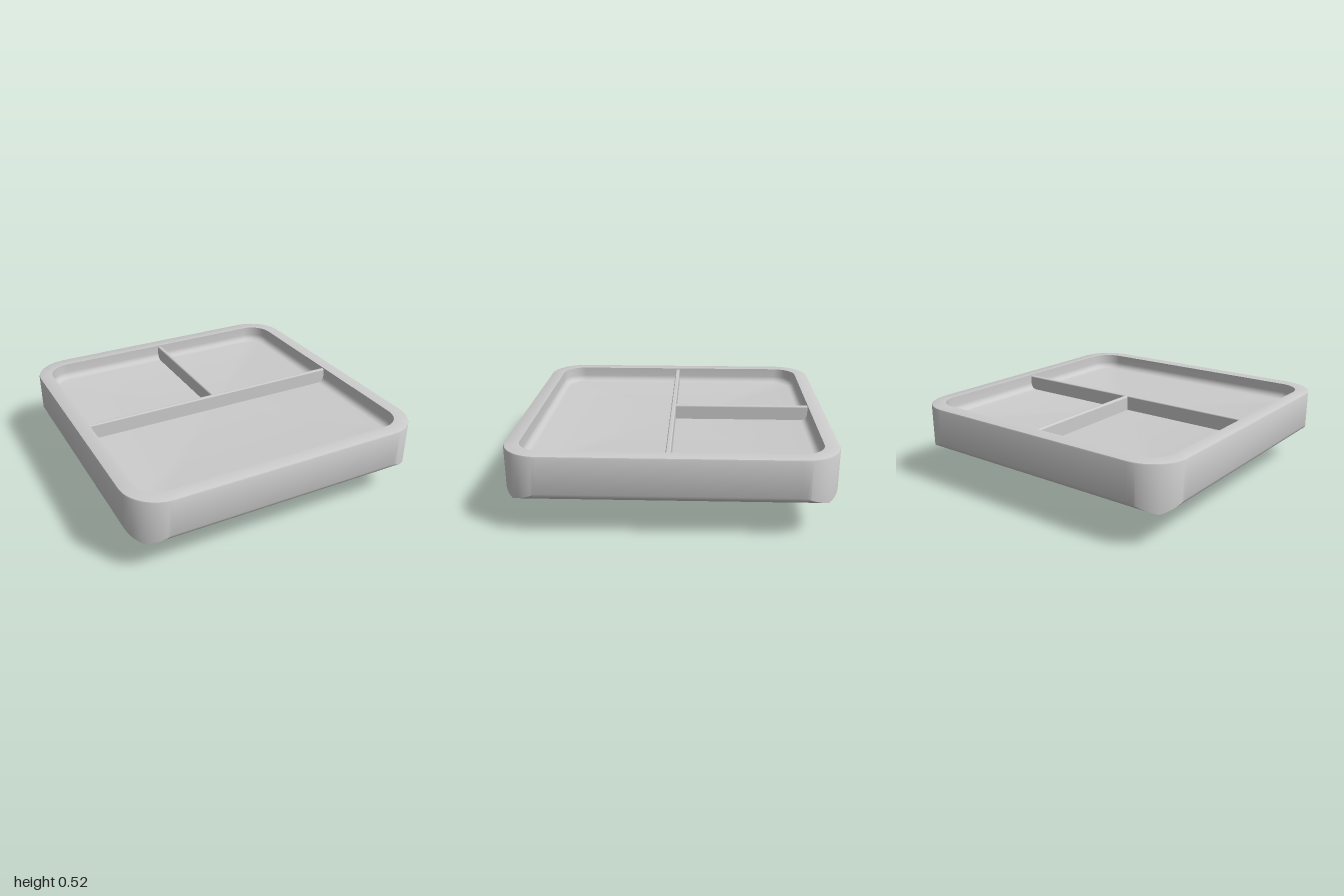
import * as THREE from 'three';
import { toCreasedNormals } from 'three/addons/utils/BufferGeometryUtils.js';
import { RoundedBoxGeometry } from 'three/addons/geometries/RoundedBoxGeometry.js';

const HX = 0.99, HZ = 1, RADIUS = 0.24, TOP = 0.517, FLOOR = 0.41;
const CORNER_STEPS = 14; // even, so one point lies on each diagonal

// Half profile of the underside: shallow dome, straight slope, rounded lower edge
const slope = [[0.6, 0.08], [0.9, 0.208], [0.95, 0.23], [0.975, 0.244], [0.992, 0.26], [1, 0.28]];
function undersideHeight(t) {
  if (t <= 0.6) return 0.08 * Math.pow(t / 0.6, 2.1);
  for (let i = 1; i < slope.length; i++) {
    const [a, ya] = slope[i - 1], [b, yb] = slope[i];
    if (t <= b) return ya + (yb - ya) * (t - a) / (b - a);
  }
  return 0.28;
}

// Rounded rectangle in the xz plane; height is a number or a rule of (x, z)
function ring(hx, hz, r, height, scale = 1) {
  const points = [];
  for (let c = 0; c < 4; c++) {
    const sx = c === 0 || c === 3 ? 1 : -1, sz = c < 2 ? 1 : -1;
    for (let i = 0; i <= CORNER_STEPS; i++) {
      const a = (c + i / CORNER_STEPS) * Math.PI / 2;
      const x = scale * (sx * (hx - r) + r * Math.cos(a));
      const z = scale * (sz * (hz - r) + r * Math.sin(a));
      points.push(new THREE.Vector3(x, typeof height === 'number' ? height : height(x, z), z));
    }
  }
  return points;
}

// Skin consecutive rings, leaving out collapsed triangles
function loft(rings) {
  const pos = [];
  const tri = (a, b, c) => {
    if (new THREE.Triangle(a, b, c).getArea() < 1e-9) return;
    for (const p of [a, b, c]) pos.push(p.x, p.y, p.z);
  };
  for (let i = 0; i + 1 < rings.length; i++) {
    const lo = rings[i], hi = rings[i + 1];
    for (let j = 0; j < lo.length; j++) {
      const k = (j + 1) % lo.length;
      tri(lo[j], hi[j], lo[k]);
      tri(hi[j], hi[k], lo[k]);
    }
  }
  const g = new THREE.BufferGeometry();
  g.setAttribute('position', new THREE.Float32BufferAttribute(pos, 3));
  return toCreasedNormals(g, 0.5);
}

export function createModel() {
  const group = new THREE.Group();
  const material = new THREE.MeshStandardMaterial({ color: 0xcccccc });
  const add = (name, geometry, x = 0, y = 0, z = 0) => {
    const mesh = new THREE.Mesh(geometry, material);
    mesh.name = name;
    mesh.position.set(x, y, z);
    group.add(mesh);
  };

  // Tray body: underside with mitred ridges, outer wall, rim, inner wall, filleted floor
  const rings = [];
  const under = (x, z) => undersideHeight(Math.max(Math.abs(x) / HX, Math.abs(z) / HZ));
  for (let i = 0; i <= 18; i++) rings.push(ring(HX, HZ, RADIUS, under, i * 0.05));
  for (const s of [0.925, 0.95, 0.975, 0.984, 0.992, 1]) rings.push(ring(HX, HZ, RADIUS, under, s));
  rings.push(ring(HX, HZ, RADIUS, TOP - 0.01));
  rings.push(ring(HX - 0.003, HZ - 0.003, RADIUS - 0.003, TOP - 0.003));
  rings.push(ring(HX - 0.01, HZ - 0.01, RADIUS - 0.01, TOP));
  rings.push(ring(0.9, 0.907, 0.15, TOP));
  const fillet = 0.045;
  for (let i = 0; i <= 6; i++) {
    const a = i / 6 * Math.PI / 2, d = fillet * (1 - Math.cos(a));
    rings.push(ring(0.9 - d, 0.907 - d, 0.15 - d, FLOOR + fillet * (1 - Math.sin(a))));
  }
  rings.push(ring(0.9 - fillet, 0.907 - fillet, 0.15 - fillet, FLOOR, 0));
  add('tray', loft(rings));

  // Thin dividers: one across the full width, one splitting the back half
  const wallHeight = 0.12, y = TOP - 0.008 - wallHeight / 2;
  add('crossDivider', new RoundedBoxGeometry(1.82, wallHeight, 0.03, 3, 0.008), 0, y, 0.013);
  add('backDivider', new RoundedBoxGeometry(0.03, wallHeight, 0.925, 3, 0.012), -0.002, y, -0.4525);
  return group;
}
